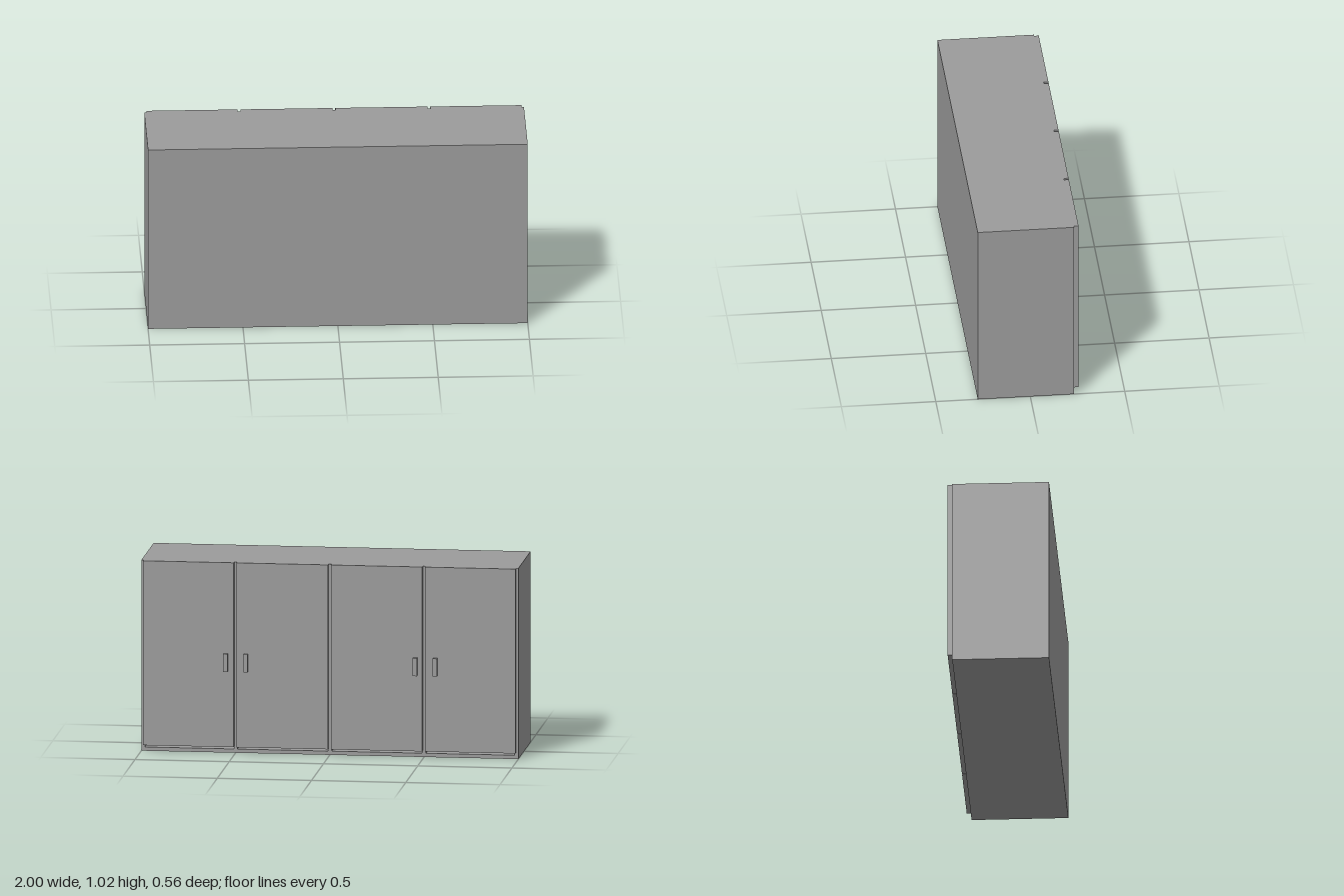
import * as THREE from 'three';

const WIDTH = 2, HEIGHT = 1.02, PANEL = 0.02;
const BACK = 0.278, OPENING = -0.232, DOOR_FACE = -0.257, HANDLE_FACE = -0.278;

export function createModel() {
  const cabinet = new THREE.Group();
  cabinet.name = 'cabinet';
  const material = new THREE.MeshStandardMaterial({ color: 0x9b9b9b });

  // Box given by its extents along each axis
  function panel(name, [x0, x1], [y0, y1], [z0, z1]) {
    const mesh = new THREE.Mesh(new THREE.BoxGeometry(x1 - x0, y1 - y0, z1 - z0), material);
    mesh.position.set((x0 + x1) / 2, (y0 + y1) / 2, (z0 + z1) / 2);
    mesh.name = name;
    cabinet.add(mesh);
  }

  // Hollow carcass: long panel, bottom, top and two ends
  const half = WIDTH / 2;
  const inner = [OPENING, BACK - PANEL];
  const span = [-half + PANEL, half - PANEL];
  panel('backPanel', [-half, half], [0, HEIGHT], [BACK - PANEL, BACK]);
  panel('bottomPanel', span, [0, PANEL], inner);
  panel('topPanel', span, [HEIGHT - PANEL, HEIGHT], inner);
  panel('rightSide', [-half, -half + PANEL], [0, HEIGHT], inner);
  panel('leftSide', [half - PANEL, half], [0, HEIGHT], inner);

  // Upright dividers behind the door joints
  const clear = [PANEL, HEIGHT - PANEL];
  for (const x of [-0.5, 0, 0.5]) {
    panel('divider', [x - PANEL / 2, x + PANEL / 2], clear, inner);
  }

  // Shelves in each of the four bays, then the door and its handle
  const handleX = [-0.562, -0.456, 0.442, 0.549];
  for (let i = 0; i < 4; i++) {
    const left = -half + i * 0.5, right = left + 0.5;
    const bay = [left + (i === 0 ? PANEL : PANEL / 2), right - (i === 3 ? PANEL : PANEL / 2)];
    for (const y of [0.2, 0.4, 0.6, 0.8]) panel('shelf', bay, [y, y + PANEL], inner);

    const door = [left + (i === 0 ? 0.012 : 0.007), right - (i === 3 ? 0.012 : 0.008)];
    panel('door', door, [0.034, HEIGHT], [DOOR_FACE, OPENING]);
    panel('handle', [handleX[i] - 0.011, handleX[i] + 0.011], [0.439, 0.535], [HANDLE_FACE, DOOR_FACE]);
  }
  return cabinet;
}
